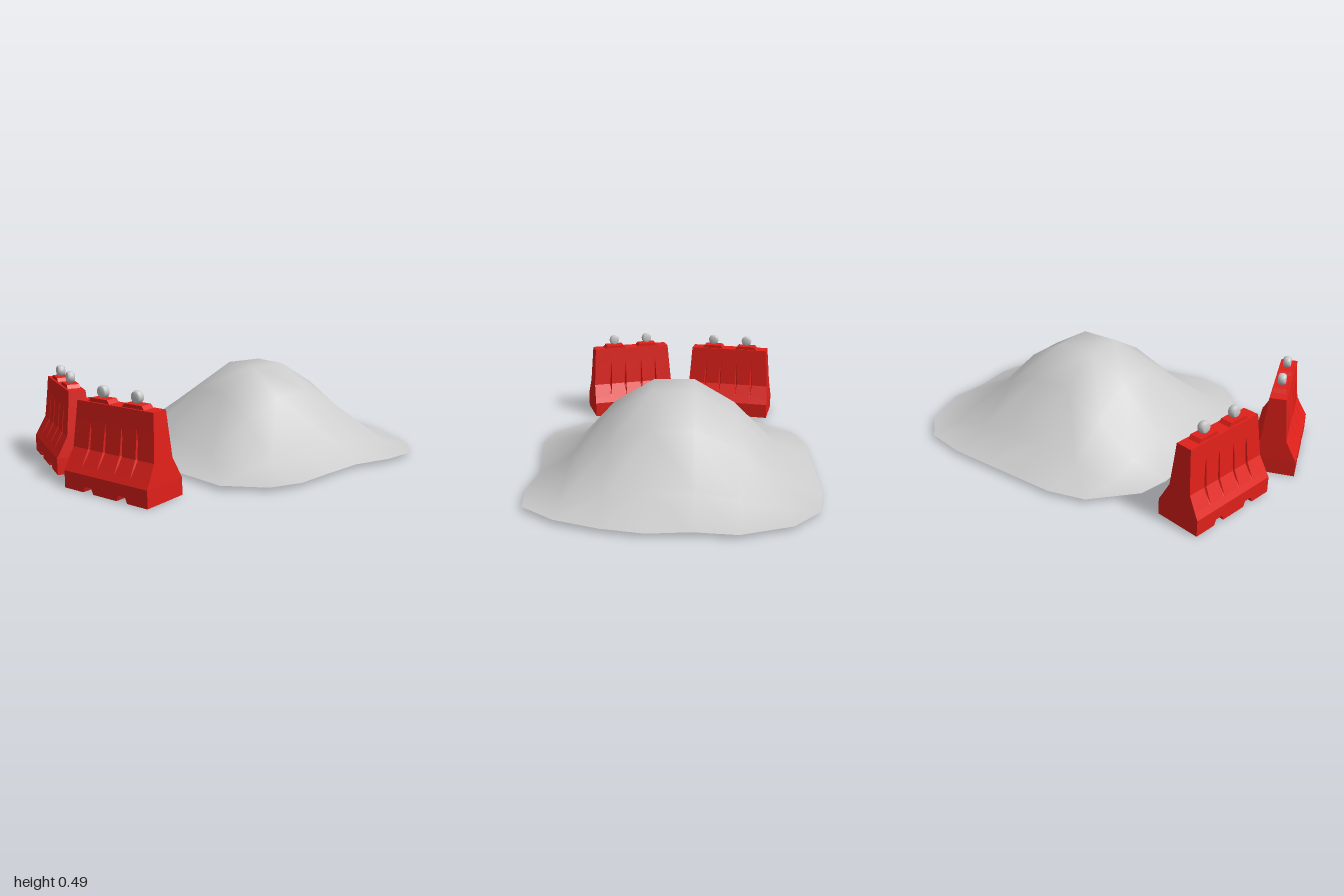
import * as THREE from 'three';

const grey = new THREE.MeshStandardMaterial({ color: 0xcccccc });
const moundGrey = new THREE.MeshStandardMaterial({ color: 0xcccccc, side: THREE.DoubleSide });
const red = new THREE.MeshStandardMaterial({ color: 0xe0201a });

function part(name, geometry, material) {
  const mesh = new THREE.Mesh(geometry, material);
  mesh.name = name;
  return mesh;
}

function buildGeometry(positions, index) {
  const g = new THREE.BufferGeometry();
  g.setAttribute('position', new THREE.Float32BufferAttribute(positions, 3));
  g.setIndex(index);
  return g;
}

// Open bell-shaped heap: an 8 x 8 grid with cut corners and an irregular rim
function moundGeometry() {
  const N = 7;
  const rim = [
    [-0.57, -0.91], [-0.32, -1], [-0.11, -0.98], [0.09, -1], [0.3, -0.96], [0.52, -0.88],
    [0.69, -0.75], [0.71, -0.55], [0.68, -0.33], [0.71, -0.12], [0.745, 0.09], [0.71, 0.26],
    [0.55, 0.43], [0.28, 0.47], [0.1, 0.51], [-0.12, 0.51], [-0.34, 0.51], [-0.5, 0.47],
    [-0.7, 0.28], [-0.75, 0.09], [-0.75, -0.12], [-0.75, -0.33], [-0.75, -0.54], [-0.71, -0.76],
  ];
  // heights by distance from the rim in each direction
  const heights = [[0.03, 0.07, 0.11], [0.07, 0.24, 0.34], [0.11, 0.34, 0.465]];
  const positions = [], ids = new Map(), index = [];
  const rimIndex = (i, j) => (j === 0 ? i - 1 : i === N ? 5 + j : j === N ? 18 - i : 24 - j);
  for (let j = 0; j <= N; j++) for (let i = 0; i <= N; i++) {
    const u = Math.min(i, N - i), v = Math.min(j, N - j);
    if (u + v === 0) continue;
    ids.set(j * 8 + i, positions.length / 3);
    if (u === 0 || v === 0) {
      const [x, z] = rim[rimIndex(i, j)];
      positions.push(x, 0.02, z);
    } else {
      positions.push(-0.75 + 0.211 * i, heights[u - 1][v - 1], -0.962 + 0.211 * j);
    }
  }
  for (let j = 0; j < N; j++) for (let i = 0; i < N; i++) {
    const q = [[i, j], [i, j + 1], [i + 1, j + 1], [i + 1, j]]
      .map(([a, b]) => ids.get(b * 8 + a)).filter((k) => k !== undefined);
    if (q.length === 3) index.push(...q);
    else if ((i < 3.5) === (j < 3.5)) index.push(q[0], q[1], q[2], q[0], q[2], q[3]);
    else index.push(q[0], q[1], q[3], q[1], q[2], q[3]);
  }
  const g = buildGeometry(positions, index);
  g.computeVertexNormals();
  return g;
}

// Tapered barrier wall: rings stacked in y, pinched into narrow grooves at the knee
function wallGeometry() {
  const rows = [ // y, half length, half width, groove depth
    [0.085, 0.2575, 0.12, 0], [0.115, 0.2555, 0.103, 0], [0.19, 0.25, 0.063, 0.018],
    [0.33, 0.24, 0.049, 0], [0.412, 0.234, 0.042, 0],
  ];
  const stations = [[-1, 0]];
  for (const c of [-0.59, -0.21, 0.21, 0.59]) stations.push([c - 0.028, 0], [c, 1], [c + 0.028, 0]);
  stations.push([1, 0]);
  const m = stations.length, n = 2 * m, positions = [], index = [];
  for (const [y, hl, hw, depth] of rows) {
    for (const [s, g] of stations) positions.push(s * hl, y, hw - g * depth);
    for (const [s, g] of [...stations].reverse()) positions.push(s * hl, y, -hw + g * depth);
  }
  for (let r = 0; r < rows.length - 1; r++) for (let k = 0; k < n; k++) {
    const a = r * n + k, b = r * n + (k + 1) % n;
    index.push(a, b, b + n, a, b + n, a + n);
  }
  const top = (rows.length - 1) * n;
  for (let k = 0; k < m - 1; k++) {
    const a = top + k, b = a + 1, d = top + n - 1 - k, c = d - 1;
    index.push(a, b, c, a, c, d);
  }
  const g = buildGeometry(positions, index).toNonIndexed();
  g.computeVertexNormals();
  return g;
}

// Foot of the barrier with two trapezoid notches running right through
function footGeometry() {
  const s = new THREE.Shape();
  s.moveTo(-0.2575, 0);
  for (const c of [-0.105, 0.105]) {
    s.lineTo(c - 0.032, 0);
    s.lineTo(c - 0.02, 0.028);
    s.lineTo(c + 0.02, 0.028);
    s.lineTo(c + 0.032, 0);
  }
  s.lineTo(0.2575, 0);
  s.lineTo(0.2575, 0.085);
  s.lineTo(-0.2575, 0.085);
  return new THREE.ExtrudeGeometry(s, { depth: 0.24, bevelEnabled: false }).translate(0, 0, -0.12);
}

// Raised lamp seat with sloping ends
function padGeometry() {
  const s = new THREE.Shape();
  s.moveTo(-0.067, 0.41);
  s.lineTo(0.067, 0.41);
  s.lineTo(0.052, 0.43);
  s.lineTo(-0.052, 0.43);
  return new THREE.ExtrudeGeometry(s, { depth: 0.064, bevelEnabled: false }).translate(0, 0, -0.032);
}

// Round warning lamp: a thick disc with softened edges, facing z
function lampGeometry() {
  const profile = [[0, -0.02], [0.021, -0.02], [0.028, -0.013], [0.031, 0],
    [0.028, 0.013], [0.021, 0.02], [0, 0.02]].map(([r, h]) => new THREE.Vector2(r, h));
  return new THREE.LatheGeometry(profile, 16).rotateX(Math.PI / 2);
}

function createBarrier(name, x, z, angle) {
  const barrier = new THREE.Group();
  barrier.name = name;
  barrier.add(part('barrierWall', wallGeometry(), red), part('barrierFoot', footGeometry(), red));
  for (const side of [-1, 1]) {
    const pad = part('lampSeat', padGeometry(), red);
    pad.position.x = side * 0.105;
    const lamp = part('warningLamp', lampGeometry(), grey);
    lamp.position.set(side * 0.105, 0.46, 0);
    barrier.add(pad, lamp);
  }
  barrier.position.set(x, 0, z);
  barrier.rotation.y = angle;
  return barrier;
}

export function createModel() {
  const model = new THREE.Group();
  model.name = 'moundWithBarriers';
  model.add(
    part('mound', moundGeometry(), moundGrey),
    createBarrier('rightBarrier', -0.335, 0.778, -0.196),
    createBarrier('leftBarrier', 0.3, 0.803, 0.316),
  );
  return model;
}
